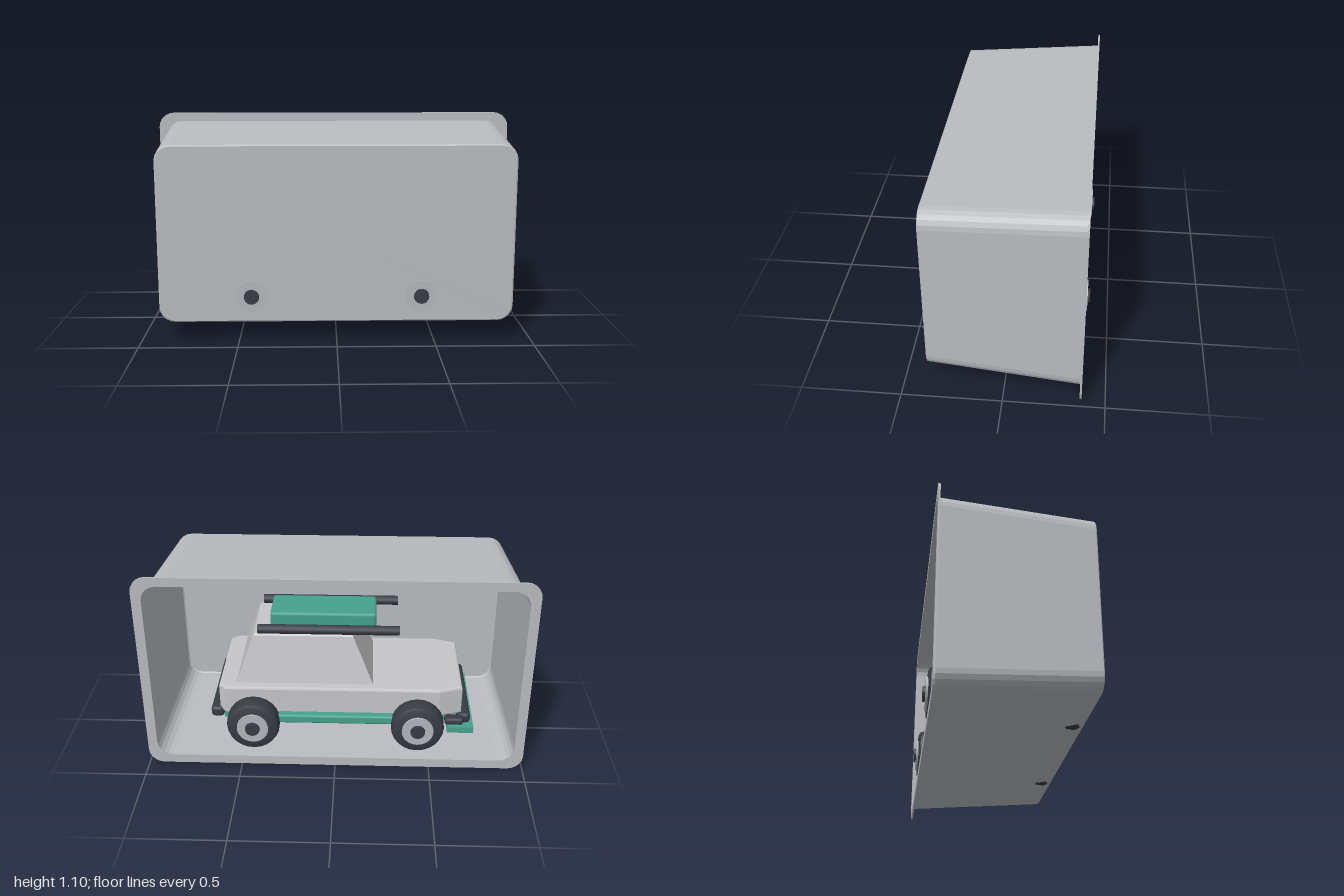
import * as THREE from 'three';
import { toCreasedNormals } from 'three/addons/utils/BufferGeometryUtils.js';
import { RoundedBoxGeometry } from 'three/addons/geometries/RoundedBoxGeometry.js';

const V = (x, y, z) => new THREE.Vector3(x, y, z);

// Counter-clockwise rounded rectangle, as points
function roundedRect(hw, y0, y1, r, steps = 5) {
  const pts = [];
  const corners = [[hw - r, y1 - r], [-hw + r, y1 - r], [-hw + r, y0 + r], [hw - r, y0 + r]];
  corners.forEach(([cx, cy], q) => {
    for (let i = 0; i <= steps; i++) {
      const a = (q + i / steps) * Math.PI / 2;
      pts.push(new THREE.Vector2(cx + r * Math.cos(a), cy + r * Math.sin(a)));
    }
  });
  return pts;
}

// Flat-shaded skin through matching rings, closed at the last ring
function loft(rings) {
  const tri = [];
  const n = rings[0].length;
  for (let k = 0; k < rings.length - 1; k++) {
    const a = rings[k], b = rings[k + 1];
    for (let i = 0; i < n; i++) {
      const j = (i + 1) % n;
      tri.push(a[i], a[j], b[j], a[i], b[j], b[i]);
    }
  }
  const last = rings[rings.length - 1];
  const mid = last.reduce((s, p) => s.add(p), V(0, 0, 0)).divideScalar(n);
  for (let i = 0; i < n; i++) tri.push(mid, last[i], last[(i + 1) % n]);
  const g = new THREE.BufferGeometry().setFromPoints(tri);
  g.computeVertexNormals();
  return g;
}

export function createModel() {
  const mat = (name, color, side = THREE.FrontSide) => {
    const m = new THREE.MeshStandardMaterial({ color, side });
    m.name = name;
    return m;
  };
  const trayGrey = mat('tray grey', 0xb9bbbf, THREE.DoubleSide);
  const bodyGrey = mat('body light grey', 0xc6c6c8);
  const green = mat('trim green', 0x45a28a);
  const black = mat('rubber black', 0x383c41);
  const rimGrey = mat('rim grey', 0xb4b7bb);

  const model = new THREE.Group();
  model.name = 'carInDisplayTray';
  const add = (parent, name, geo, material, x = 0, y = 0, z = 0) => {
    const m = new THREE.Mesh(geo, material);
    m.name = name;
    m.position.set(x, y, z);
    parent.add(m);
    return m;
  };

  // Tapered tray, open at the back
  const tray = new THREE.Group();
  tray.name = 'tray';
  model.add(tray);
  const ring = (hw, y0, y1, r, z) => roundedRect(hw, y0, y1, r).map(p => V(p.x, p.y, z));
  add(tray, 'trayShell', loft([
    ring(0.95, 0.05, 1.053, 0.08, -0.38),
    ring(0.907, 0.097, 1.01, 0.08, 0.38),
    ring(0.9, 0.103, 1.003, 0.074, 0.385),
  ]), trayGrey);

  // Flat flange around the opening
  const flange = new THREE.Shape(roundedRect(1, 0, 1.1, 0.08));
  flange.holes.push(new THREE.Path(roundedRect(0.95, 0.05, 1.053, 0.08).reverse()));
  add(tray, 'trayFlange', new THREE.ExtrudeGeometry(flange, { depth: 0.01, bevelEnabled: false }),
    trayGrey, 0, 0, -0.385);

  // Car, nose towards -x
  const car = new THREE.Group();
  car.name = 'car';
  model.add(car);

  // Lower body with clipped corners in plan
  const plan = new THREE.Shape([
    [0.62, -0.25], [0.62, 0.25], [0.58, 0.285], [-0.55, 0.285],
    [-0.67, 0.245], [-0.67, -0.245], [-0.55, -0.285], [0.58, -0.285],
  ].map(([x, y]) => new THREE.Vector2(x, y)));
  const bodyGeo = new THREE.ExtrudeGeometry(plan, {
    depth: 0.14, bevelThickness: 0.012, bevelSize: 0.012, bevelOffset: -0.012, bevelSegments: 2,
  });
  bodyGeo.rotateX(-Math.PI / 2);
  add(car, 'lowerBody', bodyGeo, bodyGrey, 0, 0.268, 0);

  // Cabin with sloping sides
  const slab = (front, rear, w, y) => [V(rear, y, w), V(rear, y, -w), V(front, y, -w), V(front, y, w)];
  add(car, 'cabin', loft([
    slab(-0.2, 0.53, 0.235, 0.415),
    slab(-0.09, 0.435, 0.185, 0.68),
    slab(-0.08, 0.425, 0.175, 0.69),
  ]), bodyGrey);

  // Roof box and rails
  add(car, 'roofBox', new RoundedBoxGeometry(0.56, 0.08, 0.22, 2, 0.015), green, 0.07, 0.735, 0);
  for (const s of [-1, 1]) {
    const rail = add(car, 'roofRail', new THREE.CylinderGeometry(0.025, 0.025, 0.74, 12), black, 0.04, 0.715, s * 0.175);
    rail.rotation.z = Math.PI / 2;
  }

  // Chassis, running boards, skid plate and bumpers
  add(car, 'chassis', new THREE.BoxGeometry(1.22, 0.06, 0.5), green, -0.01, 0.24, 0);
  for (const s of [-1, 1]) {
    add(car, 'runningBoard', new RoundedBoxGeometry(0.62, 0.05, 0.1, 2, 0.012), green, 0, 0.25, s * 0.275);
  }
  add(car, 'skidPlate', new THREE.BoxGeometry(0.14, 0.035, 0.56), green, -0.67, 0.17, 0);
  add(car, 'frontBumper', new RoundedBoxGeometry(0.07, 0.06, 0.54, 2, 0.02), black, -0.685, 0.235, 0);
  add(car, 'rearBumper', new RoundedBoxGeometry(0.07, 0.06, 0.54, 2, 0.02), black, 0.635, 0.25, 0);
  for (const s of [-1, 1]) {
    add(car, 'bumperEnd', new RoundedBoxGeometry(0.1, 0.04, 0.06, 2, 0.015), black, -0.63, 0.245, s * 0.29);
  }

  // Wheels: rounded tyre, rim disc and hub cap
  const tyreProfile = [
    [0, 0.27], [0.115, 0.27], [0.133, 0.28], [0.14, 0.3], [0.14, 0.35], [0.133, 0.37], [0.115, 0.379], [0, 0.379],
  ].map(([r, z]) => new THREE.Vector2(r, z));
  const tyreGeo = toCreasedNormals(new THREE.LatheGeometry(tyreProfile, 24), 0.6).rotateX(Math.PI / 2);
  const disc = (r, from, to) => new THREE.CylinderGeometry(r, r, to - from, 24)
    .rotateX(Math.PI / 2).translate(0, 0, (from + to) / 2);
  const rimGeo = disc(0.083, 0.37, 0.39);
  const capGeo = new THREE.CylinderGeometry(0.037, 0.041, 0.02, 20).rotateX(Math.PI / 2).translate(0, 0, 0.392);
  for (const x of [-0.435, 0.435]) {
    const axle = add(car, 'axle', new THREE.CylinderGeometry(0.025, 0.025, 0.6, 12), black, x, 0.23, 0);
    axle.rotation.x = Math.PI / 2;
    for (const turn of [0, Math.PI]) {
      const wheel = new THREE.Group();
      wheel.name = 'wheel';
      wheel.position.set(x, 0.23, 0);
      wheel.rotation.y = turn;
      add(wheel, 'tyre', tyreGeo, black);
      add(wheel, 'rim', rimGeo, rimGrey);
      add(wheel, 'hubCap', capGeo, black);
      car.add(wheel);
    }
  }
  return model;
}
